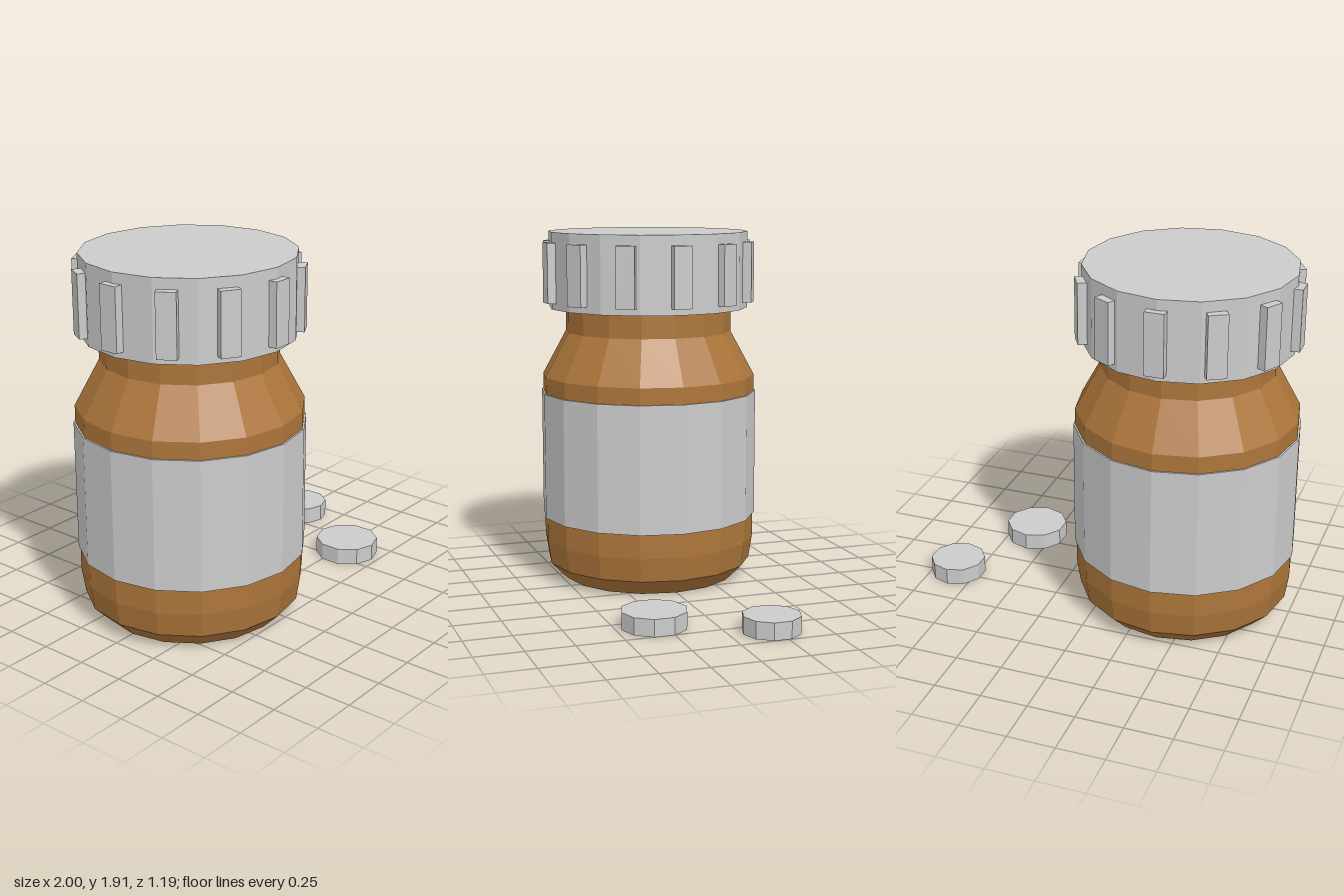
import * as THREE from 'three';

const grey = new THREE.MeshStandardMaterial({ color: 0xcccccc, flatShading: true });
const amber = new THREE.MeshStandardMaterial({ color: 0xad763b, flatShading: true });
const SIDES = 16;

function addMesh(parent, name, geometry, material, x = 0, y = 0, z = 0) {
  const mesh = new THREE.Mesh(geometry, material);
  mesh.name = name;
  mesh.position.set(x, y, z);
  parent.add(mesh);
  return mesh;
}

// Upright faceted disc or drum standing between two heights
function addDrum(parent, name, radius, bottom, top, sides, x = 0, z = 0) {
  const geometry = new THREE.CylinderGeometry(radius, radius, top - bottom, sides);
  return addMesh(parent, name, geometry, grey, x, (bottom + top) / 2, z);
}

export function createModel() {
  const model = new THREE.Group();
  model.name = 'pillBottleWithTablets';

  const bottle = new THREE.Group();
  bottle.name = 'bottle';
  bottle.position.x = -0.405;
  model.add(bottle);

  // Glass body: chamfered base, straight wall, sloped shoulder, neck
  const profile = [
    [0, 0], [0.475, 0], [0.565, 0.09], [0.585, 0.22],
    [0.585, 1.13], [0.455, 1.37], [0.455, 1.55], [0, 1.55],
  ].map(([r, y]) => new THREE.Vector2(r, y));
  addMesh(bottle, 'glassBody', new THREE.LatheGeometry(profile, SIDES), amber);

  // Wrapped label band
  addDrum(bottle, 'label', 0.594, 0.35, 1.04, SIDES);

  // Screw cap with grip ribs
  const cap = new THREE.Group();
  cap.name = 'cap';
  bottle.add(cap);
  addDrum(cap, 'capBody', 0.545, 1.5, 1.915, SIDES);
  const ribGeometry = new THREE.BoxGeometry(0.1, 0.325, 0.06);
  for (let i = 0; i < 12; i++) {
    const a = (i / 12) * Math.PI * 2;
    const rib = addMesh(cap, 'gripRib', ribGeometry, grey, Math.sin(a) * 0.55, 1.6975, Math.cos(a) * 0.55);
    rib.rotation.y = a;
  }

  // Loose tablets beside the bottle
  addDrum(model, 'frontTablet', 0.171, 0, 0.09, 10, 0.592, 0.302);
  addDrum(model, 'rearTablet', 0.15, 0, 0.09, 10, 0.855, -0.22);

  return model;
}
